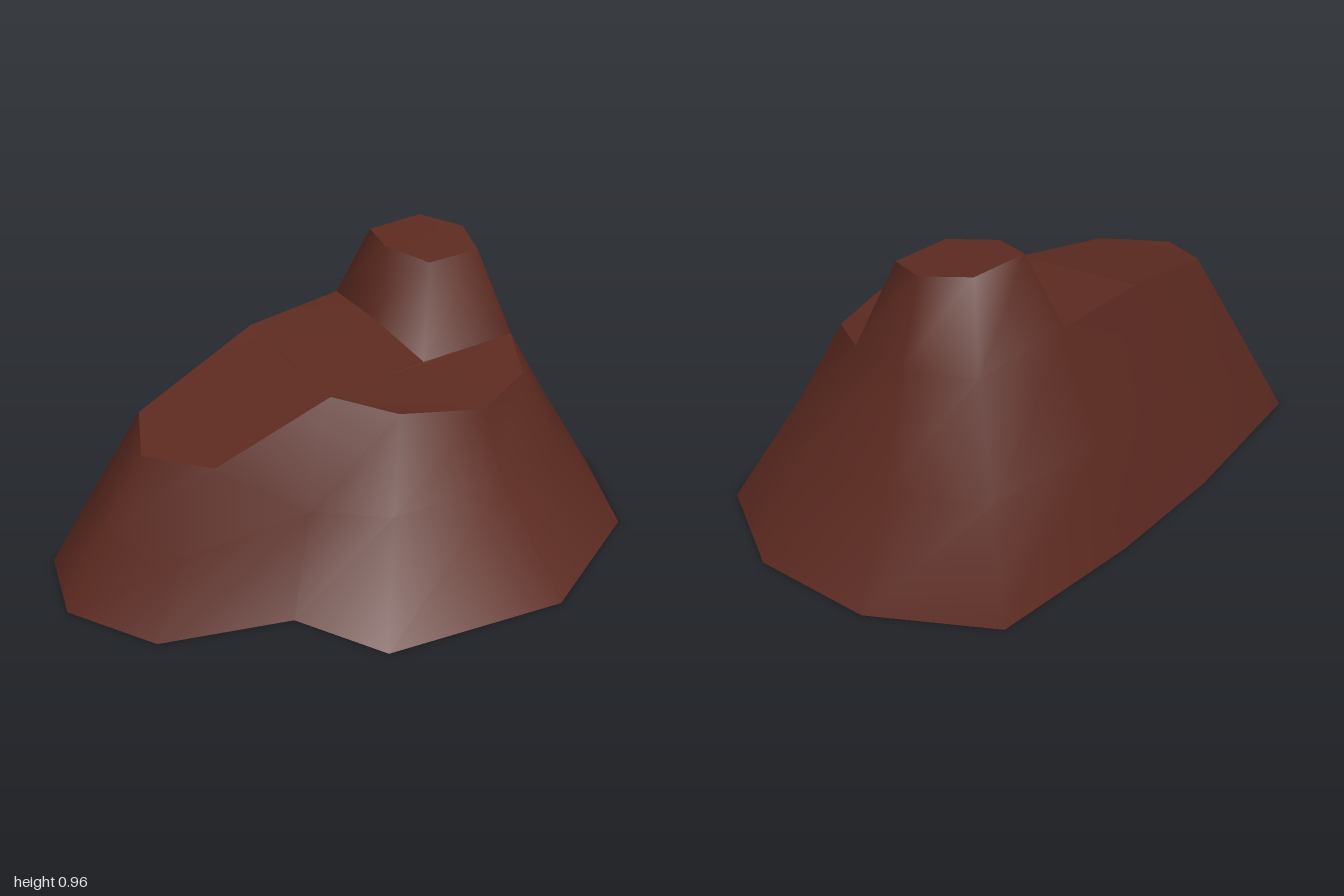
import * as THREE from 'three';

// Indexed smooth mesh from points and triangle indices
function surface(name, points, index, material) {
  const g = new THREE.BufferGeometry();
  g.setAttribute('position', new THREE.Float32BufferAttribute(points.flat(), 3));
  g.setIndex(index);
  g.computeVertexNormals();
  const mesh = new THREE.Mesh(g, material);
  mesh.name = name;
  return mesh;
}

// Upward-facing fill of an outline given in order front, left, back, right
function fill(name, points, material) {
  const flat = points.map(([x, , z]) => new THREE.Vector2(x, -z));
  return surface(name, points, THREE.ShapeUtils.triangulateShape(flat, []).flat(), material);
}

export function createModel() {
  const rock = new THREE.MeshStandardMaterial({ color: 0x5c2a20, side: THREE.DoubleSide });
  rock.name = 'reddish brown rock';

  // Three cross-sections of the slope, from the ground to the ledge
  const base = [
    [-0.31, 0, 1], [0.02, 0, 0.87], [0.2, 0, 0.46], [0.53, 0, 0.34],
    [0.69, 0, -0.27], [0.48, 0, -0.78], [0.13, 0, -0.995], [-0.29, 0, -1],
    [-0.66, 0, -0.79], [-0.695, 0, -0.23], [-0.68, 0, 0.25], [-0.6, 0, 0.88],
  ];
  const middle = [
    [-0.25, 0.27, 0.88], [0.025, 0.28, 0.75], [0.13, 0.33, 0.33], [0.34, 0.34, 0.16],
    [0.405, 0.335, -0.26], [0.36, 0.32, -0.58], [0.09, 0.34, -0.79], [-0.27, 0.35, -0.85],
    [-0.56, 0.35, -0.72], [-0.6, 0.35, -0.25], [-0.575, 0.35, 0.19], [-0.49, 0.29, 0.76],
  ];
  const top = [
    [-0.17, 0.565, 0.76], [0.04, 0.565, 0.63], [0.04, 0.655, 0.17], [0.26, 0.65, 0.07],
    [0.325, 0.585, -0.24], [0.24, 0.595, -0.5], [0.05, 0.63, -0.63], [-0.24, 0.69, -0.74],
    [-0.46, 0.7, -0.66], [-0.47, 0.715, -0.27], [-0.455, 0.71, 0.12], [-0.365, 0.595, 0.64],
  ];
  // Where the peak meets the ledge, the dip in the ledge, and the peak's rim
  const foot = [[-0.25, 0.7, -0.25], [0.04, 0.648, -0.23]];
  const dip = [-0.22, 0.675, 0.15];
  const rim = [
    [-0.07, 0.925, -0.57], [-0.22, 0.945, -0.64], [-0.37, 0.96, -0.57],
    [-0.38, 0.96, -0.35], [-0.25, 0.953, -0.305], [-0.085, 0.93, -0.36],
  ];

  // Slopes and peak flanks share vertices so they shade as one surface
  const index = [];
  const band = (lower, upper, flipped) => {
    lower.forEach((a, i) => {
      const j = (i + 1) % lower.length;
      const [b, c, d] = [lower[j], upper[j], upper[i]];
      index.push(...(i === flipped ? [a, b, d, b, c, d] : [a, b, c, a, c, d]));
    });
  };
  const run = (start, count) => Array.from({ length: count }, (_, i) => start + i);
  band(run(0, 12), run(12, 12), 4); // hollow on the left flank
  band(run(12, 12), run(24, 12), 1); // crease of the front gully
  band([30, 31, 32, 33, 36, 37], run(38, 6));

  const group = new THREE.Group();
  group.name = 'rockOutcrop';
  group.add(
    surface('slopes', [...base, ...middle, ...top, ...foot, ...rim], index, rock),
    fill('frontLedge', [top[10], top[11], top[0], top[1], top[2], dip], rock),
    fill('middleLedge', [top[9], top[10], dip, top[2], foot[1], foot[0]], rock),
    fill('leftLedge', [...top.slice(2, 7), foot[1]], rock),
    fill('peakTop', rim, rock),
  );
  return group;
}
